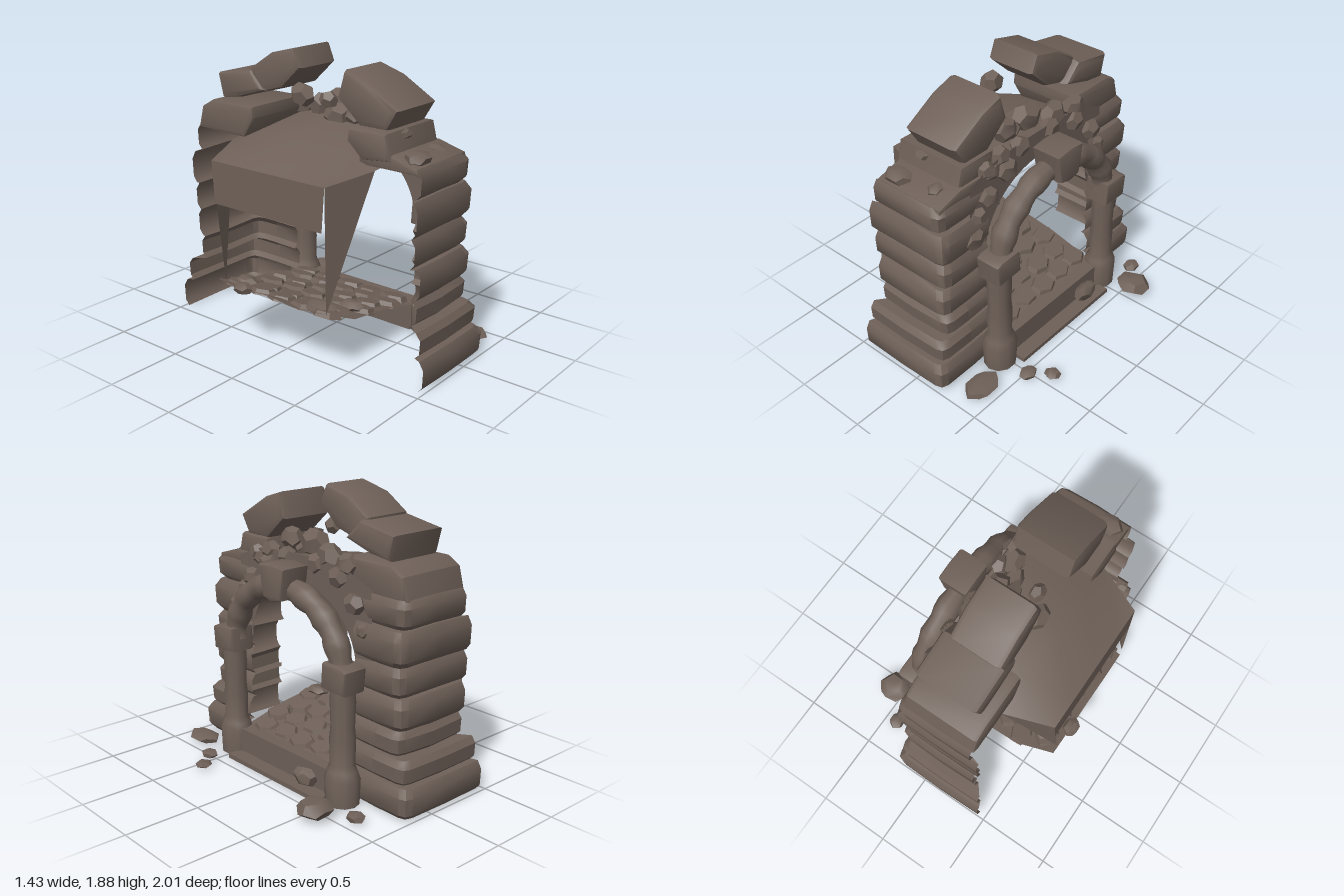
import * as THREE from 'three';
import { toCreasedNormals } from 'three/addons/utils/BufferGeometryUtils.js';

export function createModel() {
  const group = new THREE.Group();
  const stone = new THREE.MeshStandardMaterial({ color: 0x6e6058, side: THREE.DoubleSide });
  stone.name = 'stone';

  let seed = 7;
  const rnd = () => (seed = (seed * 16807) % 2147483647) / 2147483647;

  function add(name, geo, crease = 0.7) {
    const mesh = new THREE.Mesh(toCreasedNormals(geo, crease), stone);
    mesh.name = name;
    group.add(mesh);
    return mesh;
  }

  // Open sheet through rows of [x, y, z] points
  function sheet(rows) {
    const n = rows[0].length, index = [];
    for (let r = 0; r < rows.length - 1; r++)
      for (let c = 0; c < n - 1; c++) {
        const a = r * n + c, b = a + n;
        index.push(a, a + 1, b, a + 1, b + 1, b);
      }
    const geo = new THREE.BufferGeometry();
    geo.setAttribute('position', new THREE.Float32BufferAttribute(rows.flat(2), 3));
    geo.setIndex(index);
    geo.computeVertexNormals();
    return geo;
  }

  // Bevelled block: outline in (z, y), extruded between x0 and x1
  function block(name, outline, x0, x1, bevel = 0.03) {
    const shape = new THREE.Shape(outline.map(([z, y]) => new THREE.Vector2(z, y)));
    const geo = new THREE.ExtrudeGeometry(shape, {
      depth: x1 - x0 - 2 * bevel, bevelEnabled: bevel > 0, bevelSize: bevel,
      bevelOffset: -bevel, bevelThickness: bevel, bevelSegments: 2,
    });
    geo.rotateY(-Math.PI / 2).translate(x1 - bevel, 0, 0);
    return add(name, geo);
  }

  // Irregular boulder with half-sizes rx, ry, rz
  function rock(name, x, y, z, rx, ry, rz) {
    const geo = new THREE.DodecahedronGeometry(1.1, 0);
    geo.rotateX(rnd() * 3).rotateY(rnd() * 3).rotateZ(rnd() * 3);
    geo.scale(rx, ry, rz).translate(x, y, z);
    return add(name, geo, 0.9);
  }

  // Pier shells: outer wall and front face in bulging courses
  // [bottom, top, back x, front x, outer z]
  const courses = [
    [0, 0.2, -0.45, 0.23, 1.0], [0.2, 0.36, -0.43, 0.21, 0.96],
    [0.36, 0.52, -0.37, 0.19, 0.89], [0.52, 0.72, -0.37, 0.19, 0.91],
    [0.72, 0.91, -0.4, 0.19, 0.89], [0.91, 1.13, -0.41, 0.2, 0.905],
    [1.13, 1.31, -0.36, 0.17, 0.895],
  ];
  for (const s of [1, -1]) {
    const rows = [];
    for (const [y0, y1, xb, xf, zo] of courses)
      for (const [t, inset] of [[0.02, 0.035], [0.2, 0.005], [0.75, 0], [1, 0.03]]) {
        const y = y0 + (y1 - y0) * t, o = zo - inset, f = xf - inset;
        rows.push([
          [xb, y, s * o], [xb * 0.3, y + 0.01 * Math.sin(y0 * 30), s * (o + 0.005)],
          [f - 0.06, y, s * o], [f - 0.015, y, s * (o - 0.015)], [f, y, s * (o - 0.06)],
          [f, y, s * 0.7], [f - 0.01, y, s * 0.5],
        ]);
      }
    add(s > 0 ? 'leftPier' : 'rightPier', sheet(rows));
  }

  // Pier top courses
  block('leftPierShelf', [[0.87, 1.27], [0.86, 1.31], [0.68, 1.36], [0.45, 1.36], [0.45, 1.27]], -0.36, 0.15, 0.015);
  block('leftPierCap', [[0.69, 1.32], [0.65, 1.48], [0.38, 1.48], [0.37, 1.4], [0.48, 1.3]], -0.38, 0.13);
  block('rightPierCap', [[-0.45, 1.28], [-0.37, 1.42], [-0.38, 1.49], [-0.74, 1.49], [-0.83, 1.44], [-0.87, 1.29]], -0.38, 0.13);

  // Fallen capping slabs
  block('leftSlab', [[0.68, 1.6], [0.6, 1.47], [0.4, 1.47], [0.23, 1.62], [0.28, 1.79], [0.44, 1.74]], -0.3, 0.115, 0.04);
  block('rightUpperSlab', [[-0.05, 1.76], [-0.1, 1.88], [-0.3, 1.83], [-0.47, 1.72], [-0.45, 1.55], [-0.2, 1.62]], -0.3, 0.06, 0.035);
  block('rightLowerSlab', [[-0.33, 1.59], [-0.45, 1.71], [-0.74, 1.66], [-0.7, 1.5], [-0.55, 1.52]], -0.32, 0.11, 0.035);

  // Spandrel wall around the arch opening
  const wall = new THREE.Shape();
  wall.moveTo(0.5, 0.8);
  for (const [z, y] of [[0.64, 0.8], [0.62, 1.34], [0.4, 1.42], [0.15, 1.44], [-0.15, 1.44], [-0.4, 1.42], [-0.62, 1.34], [-0.64, 0.8], [-0.5, 0.8]])
    wall.lineTo(z, y);
  wall.absellipse(0, 0.8, 0.5, 0.46, Math.PI, 0, true);
  add('spandrelWall', new THREE.ShapeGeometry(wall, 20).rotateY(-Math.PI / 2).translate(0.16, 0, 0));

  // Vault behind the arch, with a short hanging back wall
  const vault = [[0.16, 0.6, 1.32, 1.44], [-0.36, 0.57, 1.25, 1.38], [-0.67, 0.45, 1.2, 1.2], [-0.672, 0.43, 0.925, 0.925]];
  add('vault', sheet(vault.map(([x, hz, edge, mid]) => [-1, -0.6, 0, 0.6, 1].map(
    (t) => [x, edge + (mid - edge) * (1 - t * t), t * hz]))), 0.9);
  for (const s of [1, -1]) {
    const a = [-0.36, 1.25, 0.57 * s], b = [-0.67, 1.2, 0.45 * s], tip = [-0.67, 0.42, (s > 0 ? 0.46 : 0.36) * s];
    add('vaultSide', sheet([[a, b], [a, tip]]));
  }

  // Columns with swollen bases and capitals
  const columnProfile = [[0, 0], [0.112, 0], [0.118, 0.17], [0.1, 0.22], [0.082, 0.26],
    [0.086, 0.42], [0.078, 0.5], [0.084, 0.66], [0.08, 0.74]];
  for (const s of [1, -1]) {
    const geo = new THREE.LatheGeometry(columnProfile.map(([r, y]) => new THREE.Vector2(r, y)), 10);
    geo.scale(0.92, 1, 1).translate(0.295, 0, 0.53 * s);
    add('column', geo, 0.8);
    block('capital', [[0.43, 0.74], [0.63, 0.73], [0.645, 0.88], [0.6, 0.9], [0.44, 0.9]]
      .map(([z, y]) => [z * s, y]), 0.21, 0.39, 0.02);
  }

  // Arch ring of rounded voussoirs
  const ring = [], arcSteps = 28, sides = 10;
  for (let i = 0; i <= arcSteps; i++) {
    const a = (i / arcSteps) * Math.PI, r = 0.078 + 0.008 * Math.cos(i * 1.8), row = [];
    for (let j = 0; j <= sides; j++) {
      const b = (j / sides) * Math.PI * 2, d = Math.cos(b) * r;
      row.push([0.29 + Math.sin(b) * r, 0.82 + (0.44 + d) * Math.sin(a), (0.51 + d) * Math.cos(a)]);
    }
    ring.push(row);
  }
  add('archRing', sheet(ring), 0.9);
  block('keystone', [[-0.09, 1.2], [0, 1.18], [0.08, 1.2], [0.12, 1.4], [0, 1.415], [-0.12, 1.4]], 0.2, 0.41, 0.02);

  // Sloping floor, threshold riser and lower step
  const floorAt = (x) => (x > -0.42 ? 0.19 + (0.25 - x) * 0.2 : 0.324 + (-0.42 - x) * 0.36);
  add('floor', sheet([0.25, -0.1, -0.42, -0.68].map((x, i) => [-1, -0.5, 0, 0.5, 1].map(
    (t) => [x, floorAt(x) + (i % 2 ? 0.01 : -0.01) * Math.cos(t * 6), t * (i === 3 ? 0.42 : 0.48)]))));
  add('threshold', new THREE.BoxGeometry(0.12, 0.17, 0.92).translate(0.27, 0.105, 0));
  add('lowerStep', new THREE.BoxGeometry(0.22, 0.03, 0.9).translate(0.32, 0.015, 0));

  // Flagstones on the floor
  for (let i = 0; i < 6; i++)
    for (let j = 0; j < 5; j++) {
      const x = 0.16 - i * 0.15 + rnd() * 0.04, z = (j - 2) * 0.18 + (i % 2 ? 0.03 : -0.03);
      const geo = new THREE.CylinderGeometry(0.08, 0.1, 0.035, 6).rotateY(rnd() * 3);
      geo.scale(0.85, 1, 1.05).rotateZ(-0.24).translate(x, floorAt(x) + 0.008, z);
      add('flagstone', geo, 0.4);
    }
  for (const [x, y, z, r] of [[-0.55, 0.4, 0.32, 0.08], [-0.55, 0.4, -0.3, 0.06], [-0.68, 0.42, -0.2, 0.05], [-0.3, 0.33, 0.36, 0.06]])
    rock('floorStone', x, y, z, r, 0.035, r * 1.3);

  // Rubble stones packed over the arch: x, y, z, radius
  const packed = [
    [0.13, 1.41, 0.33, 0.07], [0.06, 1.5, 0.2, 0.08], [-0.18, 1.57, 0.08, 0.06], [0.05, 1.5, -0.01, 0.1],
    [-0.27, 1.6, -0.05, 0.08], [0.1, 1.45, -0.2, 0.09], [0.12, 1.43, -0.38, 0.08], [0.16, 1.36, -0.34, 0.07],
    [0.16, 1.32, 0.31, 0.08], [0.17, 1.21, 0.48, 0.07], [0.14, 1.38, 0.46, 0.06], [0.18, 1.23, -0.5, 0.07],
    [0.17, 0.99, 0.62, 0.08], [0.18, 1.08, -0.58, 0.05], [0.14, 1.4, 0.16, 0.07], [0.02, 1.44, 0.12, 0.08],
    [0.14, 1.4, -0.12, 0.07], [0.13, 1.35, 0.42, 0.07], [-0.02, 1.43, 0.02, 0.09], [0.17, 1.12, 0.56, 0.06],
  ];
  for (const [x, y, z, r] of packed) rock('archStone', x, y, z, r * 0.75, r * 0.9, r);

  // Loose stones on the left pier
  rock('pierStone', -0.25, 1.34, 0.79, 0.09, 0.045, 0.07);
  rock('pierStone', 0.01, 1.33, 0.74, 0.05, 0.035, 0.06);
  rock('pierStone', -0.18, 1.45, 0.65, 0.05, 0.03, 0.04);

  // Scattered rubble on the ground
  rock('groundRubble', 0.41, 0.03, -0.77, 0.05, 0.03, 0.06);
  rock('groundRubble', 0.56, 0.07, -0.58, 0.11, 0.06, 0.1);
  rock('groundRubble', 0.53, 0.1, -0.27, 0.001, 0.001, 0.001).visible = false;
  rock('groundRubble', 0.53, 0.035, 0.53, 0.05, 0.025, 0.06);
  rock('groundRubble', 0.65, 0.03, 0.43, 0.05, 0.025, 0.05);
  rock('groundRubble', 0.38, 0.035, 0.8, 0.085, 0.03, 0.13);
  rock('groundRubble', 0.37, 0.1, -0.27, 0.05, 0.06, 0.09);

  return group;
}
